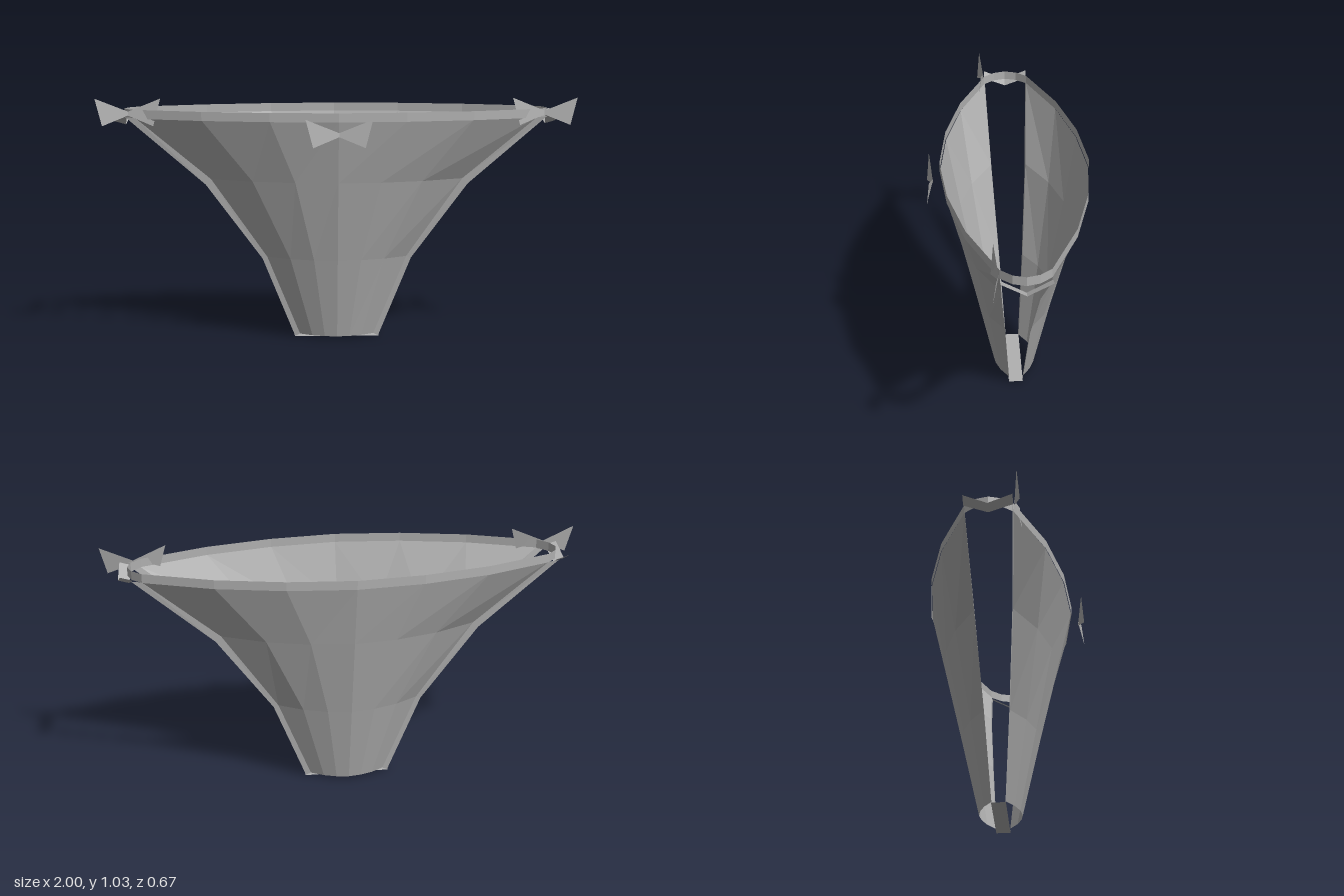
import * as THREE from 'three';

const grey = new THREE.MeshStandardMaterial({ color: 0xb0b0b0, flatShading: true, side: THREE.DoubleSide });
grey.name = 'plainGrey';

const ZC = -0.025; // depth of the centre plane

// Sheet lofted through rows of points; every row has the same length
function sheet(name, rows) {
  const n = rows[0].length;
  const index = [];
  for (let r = 0; r < rows.length - 1; r++) {
    for (let i = 0; i < n - 1; i++) {
      const a = r * n + i, b = a + 1, c = a + n, d = c + 1;
      index.push(a, b, d, a, d, c);
    }
  }
  const g = new THREE.BufferGeometry();
  g.setAttribute('position', new THREE.Float32BufferAttribute(rows.flat(2), 3));
  g.setIndex(index);
  const flat = g.toNonIndexed();
  flat.computeVertexNormals();
  const mesh = new THREE.Mesh(flat, grey);
  mesh.name = name;
  return mesh;
}

// Levels of the flared half shells: height, half width, edge depth, middle depth
const levels = [
  [0.013, 0.157, 0.03, 0.09],
  [0.353, 0.295, 0.053, 0.166],
  [0.688, 0.527, 0.077, 0.243],
  [0.945, 0.835, 0.095, 0.303],
];
// Outer edge of the narrow side flanges: half width, height
const flangeEdge = [[0.178, 0.003], [0.315, 0.345], [0.55, 0.665], [0.878, 0.95]];
const bulge = [0, 0.55, 0.87, 1, 0.87, 0.55, 0];

// One cross-section of a half shell, from right to left
function section([y, w, edge, mid], dir) {
  return bulge.map((f, i) => [w * (i / 3 - 1), y, ZC + dir * (edge + (mid - edge) * f)]);
}

function halfShell(name, dir) {
  const group = new THREE.Group();
  group.name = name;
  const rows = levels.map((l) => section(l, dir));
  if (dir < 0) rows.forEach((row) => row.reverse());
  group.add(sheet(name + 'Panel', rows));
  for (const side of [-1, 1]) {
    const strip = levels.map(([y, w, edge], i) => {
      const z = ZC + dir * edge;
      const pair = [[side * w, y, z], [side * flangeEdge[i][0], flangeEdge[i][1], z - dir * 0.002]];
      return side * dir < 0 ? pair.reverse() : pair;
    });
    group.add(sheet(name + 'SideFlange', strip));
  }
  return group;
}

// Upright band around the whole mouth
function rim() {
  const top = levels[3];
  const front = section(top, 1);
  const back = section(top, -1).reverse();
  const tip = (s) => [[s * 0.875, 0, ZC + s * 0.05], [s * 0.89, 0, ZC], [s * 0.875, 0, ZC - s * 0.05]];
  const loop = [...front, ...tip(1), ...back, ...tip(-1), front[0]];
  // the tips at -x run from back to front, the ones at +x from front to back
  const at = (y) => loop.map(([x, , z]) => [x, y, ZC + (z - ZC) * 1.01]);
  return sheet('rim', [at(0.943), at(0.98)]);
}

// Bow of two crossing triangles
function bow(name, x, y, z) {
  const group = new THREE.Group();
  group.name = name;
  for (const s of [-1, 1]) {
    const pts = [[s * 0.135, 0.063, 0.016], [s * 0.105, -0.05, 0.027], [-s * 0.02, 0, 0]];
    if (s > 0) pts.reverse();
    const g = new THREE.BufferGeometry();
    g.setAttribute('position', new THREE.Float32BufferAttribute(pts.flat(), 3));
    g.computeVertexNormals();
    const wing = new THREE.Mesh(g, grey);
    wing.name = 'bowWing';
    group.add(wing);
  }
  group.position.set(x, y, z);
  return group;
}

export function createModel() {
  const model = new THREE.Group();
  model.name = 'flaredBasket';
  model.add(halfShell('frontShell', 1), halfShell('backShell', -1), rim());

  // Flat strip joining the shells at the bottom
  model.add(sheet('bottomStrip', [
    [[-0.18, 0.002, 0.005], [0.18, 0.002, 0.005]],
    [[-0.18, 0.002, -0.055], [0.18, 0.002, -0.055]],
  ]));

  // Sagging ribbons bridging the gap at each side
  for (const s of [-1, 1]) {
    const ribbon = [
      [[0.87, 0.955, 0.07], [0.92, 0.97, 0.07]],
      [[0.885, 0.912, ZC], [0.93, 0.925, ZC]],
      [[0.87, 0.955, -0.122], [0.92, 0.97, -0.122]],
    ].map((row) => row.map(([x, y, z]) => [s * x, y, z]));
    if (s < 0) ribbon.forEach((row) => row.reverse());
    model.add(sheet('sideRibbon', ribbon));
    model.add(bow('sideBow', s * 0.865, 0.965, 0.073));
  }
  model.add(bow('frontBow', 0, 0.895, 0.308));
  return model;
}
